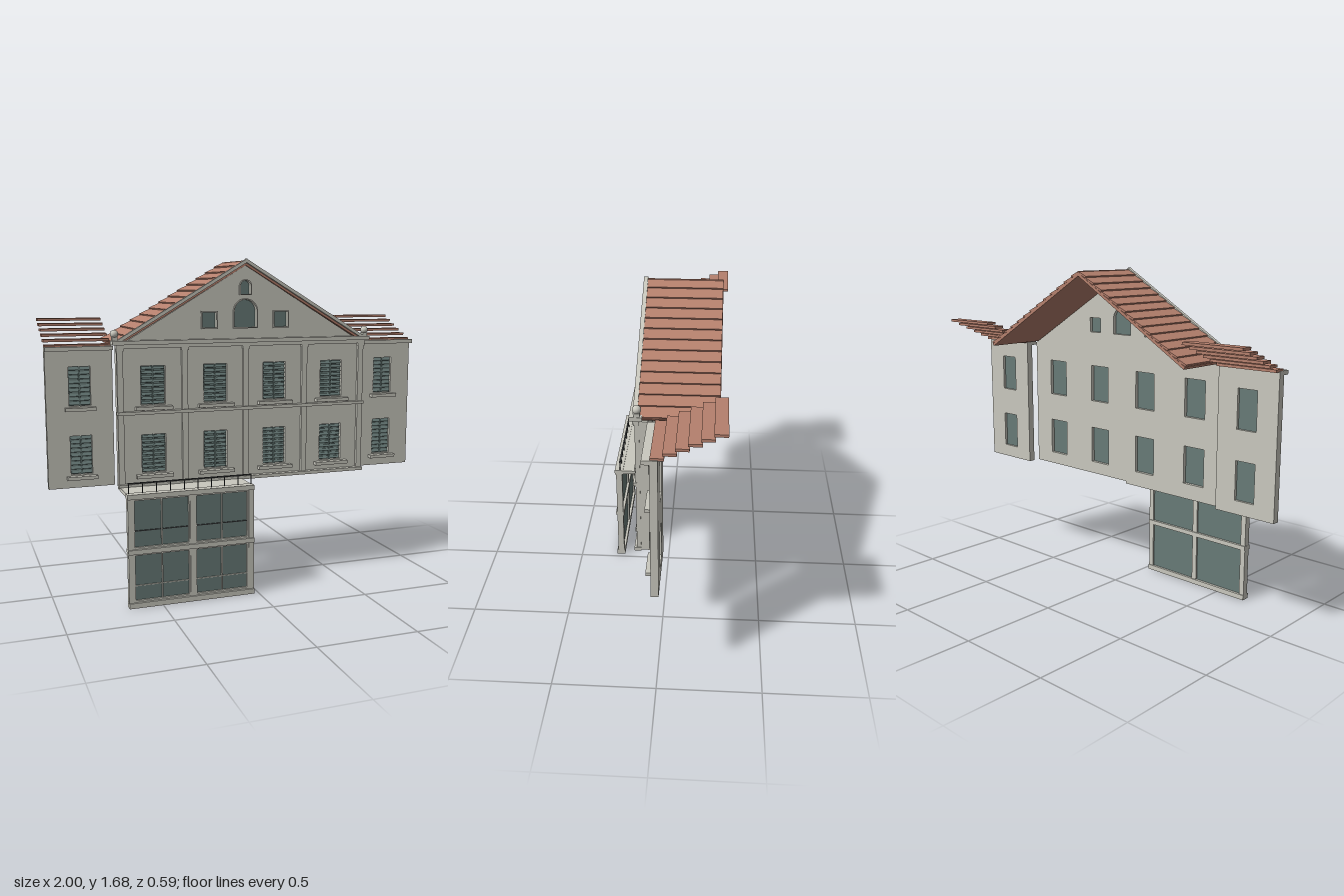
import * as THREE from 'three';

const mat = (name, color, side = THREE.FrontSide) => {
  const m = new THREE.MeshStandardMaterial({ color, side });
  m.name = name;
  return m;
};

export function createModel() {
  const stone = mat('stone', 0xc9c8be);
  const tile = mat('roof tile', 0xb5806d);
  const glass = mat('glass', 0x687a77);
  const iron = mat('dark iron', 0x3a3d3e);
  const model = new THREE.Group();
  model.name = 'facade';

  const add = (parent, name, geometry, material, x = 0, y = 0, z = 0) => {
    const mesh = new THREE.Mesh(geometry, material);
    mesh.name = name;
    mesh.position.set(x, y, z);
    parent.add(mesh);
    return mesh;
  };
  // Box given by its limits on each axis
  const slab = (parent, name, material, x0, x1, y0, y1, z0, z1) =>
    add(parent, name, new THREE.BoxGeometry(x1 - x0, y1 - y0, z1 - z0), material,
      (x0 + x1) / 2, (y0 + y1) / 2, (z0 + z1) / 2);
  const group = (name) => {
    const g = new THREE.Group();
    g.name = name;
    model.add(g);
    return g;
  };

  // Opening outline: rectangle, or rectangle with a round head
  const outline = (Type, cx, w, y0, y1, arched) => {
    const p = new Type(), r = w / 2;
    p.moveTo(cx - r, y0);
    p.lineTo(cx + r, y0);
    if (arched) {
      p.lineTo(cx + r, y1 - r);
      p.absarc(cx, y1 - r, r, 0, Math.PI, false);
    } else {
      p.lineTo(cx + r, y1);
      p.lineTo(cx - r, y1);
    }
    p.closePath();
    return p;
  };
  const extrude = (shape, depth) =>
    new THREE.ExtrudeGeometry(shape, { depth, bevelEnabled: false, curveSegments: 12 });

  const wall = (parent, name, points, openings, z, depth) => {
    const shape = new THREE.Shape(points.map(([x, y]) => new THREE.Vector2(x, y)));
    for (const o of openings) shape.holes.push(outline(THREE.Path, ...o));
    add(parent, name, extrude(shape, depth), stone, 0, 0, z);
    for (const o of openings) {
      add(parent, 'windowPane', extrude(outline(THREE.Shape, ...o), 0.008), glass, 0, 0, z + depth * 0.4);
    }
  };

  // Louvred leaves and sill of a tall window; front is the wall face
  const dressWindow = (parent, cx, w, y0, y1, front, sillWidth) => {
    const n = 9, step = (y1 - y0) / n;
    for (const s of [-1, 1]) {
      for (let i = 0; i < n; i++) {
        const slat = add(parent, 'shutterSlat', new THREE.BoxGeometry(w / 2 - 0.008, 0.015, 0.003), glass,
          cx + s * w / 4, y0 + (i + 0.5) * step, front - 0.009);
        slat.rotation.x = -0.45;
      }
    }
    slab(parent, 'shutterBar', glass, cx - 0.004, cx + 0.004, y0, y1, front - 0.015, front - 0.003);
    slab(parent, 'windowSill', stone, cx - sillWidth / 2, cx + sillWidth / 2, y0 - 0.024, y0 - 0.007, front - 0.005, front + 0.03);
  };

  const floors = [[0.625, 0.818], [0.967, 1.16]];

  // Main block
  const main = group('mainBlock');
  const openings = [];
  for (const x of [-0.485, -0.161, 0.161, 0.485]) {
    for (const [y0, y1] of floors) {
      openings.push([x, 0.125, y0, y1, false]);
      dressWindow(main, x, 0.125, y0, y1, 0.095, 0.187);
    }
  }
  const gable = [
    [0, 0.12, 1.342, 1.48, true], [0, 0.055, 1.508, 1.575, true],
    [-0.193, 0.075, 1.342, 1.418, false], [0.193, 0.075, 1.342, 1.418, false],
  ];
  openings.push(...gable);
  wall(main, 'mainWall',
    [[-0.665, 0.56], [0.665, 0.56], [0.665, 1.252], [0, 1.65], [-0.665, 1.252]], openings, 0.05, 0.045);

  // Thin surrounds of the gable windows
  for (const [cx, w, y0, y1, arched] of gable) {
    const frame = outline(THREE.Shape, cx, w + 0.012, y0 - 0.006, y1 + 0.006, arched);
    frame.holes.push(outline(THREE.Path, cx, w, y0, y1, arched));
    add(main, 'gableWindowFrame', extrude(frame, 0.008), stone, 0, 0, 0.095);
  }

  // Pilasters, bands and cornice
  for (const x of [-0.652, -0.325, 0, 0.325, 0.652]) {
    slab(main, 'pilaster', stone, x - 0.015, x + 0.015, 0.56, 1.26, 0.09, 0.11);
    slab(main, 'pilasterCapital', stone, x - 0.019, x + 0.019, 1.235, 1.25, 0.09, 0.115);
  }
  slab(main, 'baseBand', stone, -0.67, 0.67, 0.558, 0.575, 0.09, 0.122);
  slab(main, 'middleBand', stone, -0.67, 0.67, 0.922, 0.938, 0.09, 0.122);
  slab(main, 'architrave', stone, -0.672, 0.672, 1.248, 1.266, 0.09, 0.12);
  slab(main, 'cornice', stone, -0.69, 0.69, 1.266, 1.286, 0.075, 0.133);

  // Gabled roof: smooth underside with lapped courses above
  const roof = group('mainRoof');
  const angle = Math.atan2(0.4, 0.675), length = Math.hypot(0.4, 0.675), rows = 13;
  for (const s of [-1, 1]) {
    const slope = new THREE.Group();
    slope.name = s > 0 ? 'leftSlope' : 'rightSlope';
    slope.position.y = 1.68;
    slope.rotation.z = -s * angle;
    roof.add(slope);
    add(slope, 'roofDeck', new THREE.BoxGeometry(length, 0.014, 0.365), tile, s * length / 2, -0.018, -0.0825);
    for (let i = 0; i < rows; i++) {
      const course = add(slope, 'roofCourse', new THREE.BoxGeometry(length / rows, 0.009, 0.362), tile,
        s * (i + 0.5) * length / rows, -0.007, -0.0825);
      course.rotation.z = s * 0.12;
    }
    add(slope, 'rakeTrim', new THREE.BoxGeometry(length + 0.01, 0.016, 0.02), stone, s * (length / 2 + 0.002), -0.006, 0.107);
    // Ball ornament at the eaves
    slab(roof, 'finialBase', stone, s * 0.675 - 0.013, s * 0.675 + 0.013, 1.284, 1.304, 0.085, 0.111);
    add(roof, 'finialBall', new THREE.SphereGeometry(0.02, 16, 12), stone, s * 0.675, 1.318, 0.098);
  }

  // Side wings with stepped slat roofs
  for (const s of [-1, 1]) {
    const wing = group(s > 0 ? 'leftWing' : 'rightWing');
    const x0 = s > 0 ? 0.672 : -1, x1 = s > 0 ? 1 : -0.672;
    wall(wing, 'wingWall', [[x0, 0.558], [x1, 0.558], [x1, 1.25], [x0, 1.25]],
      floors.map(([y0, y1]) => [s * 0.835, 0.107, y0, y1, false]), -0.015, 0.035);
    for (const [y0, y1] of floors) dressWindow(wing, s * 0.835, 0.107, y0, y1, 0.02, 0.15);
    slab(wing, 'wingCornice', stone, x0, x1, 1.238, 1.258, -0.015, 0.053);
    const left = s > 0 ? 0.672 : -0.997, right = left + 0.322;
    for (let i = 0; i < 6; i++) {
      const z = 0.018 - i * 0.0515, y = 1.254 + i * 0.0237;
      slab(wing, 'wingRoofSlat', tile, left, right, y, y + 0.013, z - 0.058, z);
    }
  }

  // Glazed porch
  const porch = group('porch');
  slab(porch, 'porchRoof', stone, -0.665, -0.027, 0.545, 0.563, 0.055, 0.29);
  for (const [y0, y1] of [[0, 0.026], [0.27, 0.293], [0.542, 0.566]]) {
    slab(porch, 'porchRail', stone, -0.668, -0.024, y0, y1, 0.252, 0.297);
  }
  for (const x of [-0.653, -0.343, -0.038]) {
    slab(porch, 'porchPost', stone, x - 0.014, x + 0.014, 0, 0.56, 0.257, 0.29);
  }
  slab(porch, 'porchGlass', glass, -0.65, -0.04, 0.02, 0.55, 0.266, 0.274);
  for (const [x0, x1] of [[-0.639, -0.357], [-0.329, -0.052]]) {
    const mid = (x0 + x1) / 2;
    for (const [y0, y1, bar, barMat] of [[0.026, 0.27, 0.108, stone], [0.293, 0.542, 0.382, iron]]) {
      slab(porch, 'paneMullion', stone, mid - 0.003, mid + 0.003, y0, y1, 0.272, 0.282);
      slab(porch, 'paneBar', barMat, x0, x1, bar - 0.002, bar + 0.002, 0.272, 0.28);
      slab(porch, 'paneFrameBottom', stone, x0, x1, y0, y0 + 0.009, 0.272, 0.284);
      slab(porch, 'paneFrameTop', stone, x0, x1, y1 - 0.009, y1, 0.272, 0.284);
      slab(porch, 'paneFrameSide', stone, x0, x0 + 0.006, y0, y1, 0.272, 0.284);
      slab(porch, 'paneFrameSide', stone, x1 - 0.006, x1, y0, y1, 0.272, 0.284);
    }
  }

  // Balcony railing
  slab(porch, 'handrail', iron, -0.66, -0.03, 0.612, 0.618, 0.264, 0.272);
  for (let i = 0; i < 10; i++) {
    const x = -0.657 + i * 0.0693;
    slab(porch, 'baluster', iron, x - 0.002, x + 0.002, 0.56, 0.614, 0.266, 0.27);
  }
  return model;
}
